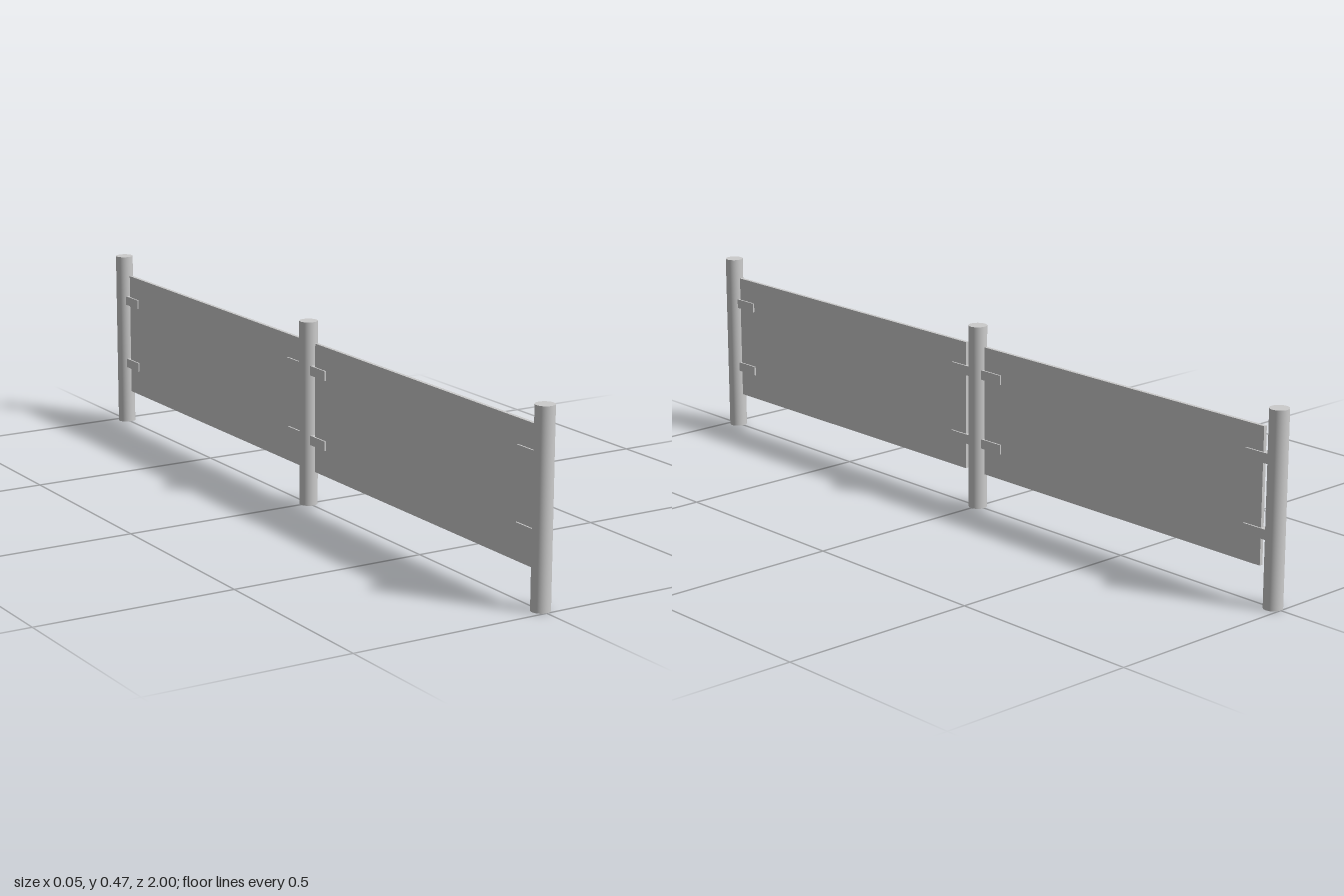
import * as THREE from 'three';

const POST_R = 0.023, POST_H = 0.467, SPACING = 0.977;

export function createModel() {
  const group = new THREE.Group();
  const material = new THREE.MeshStandardMaterial({ color: 0xcccccc });
  const add = (geometry, name, y, z) => {
    const mesh = new THREE.Mesh(geometry, material);
    mesh.name = name;
    mesh.position.set(0, y, z);
    group.add(mesh);
  };

  // Three round posts
  const post = new THREE.CylinderGeometry(POST_R, POST_R, POST_H, 32);
  for (const z of [-SPACING, 0, SPACING]) add(post, 'post', POST_H / 2, z);

  // Two thin panels, each set slightly towards the front of its bay
  const panel = new THREE.BoxGeometry(0.009, 0.326, 0.909);
  // Clips gripping both faces of the panel, running out from the posts
  const clip = new THREE.BoxGeometry(0.017, 0.024, 0.08);
  for (const side of [-1, 1]) {
    const middle = side * SPACING / 2;
    add(panel, 'panel', 0.254, middle + 0.005);
    for (const y of [0.169, 0.346]) {
      for (const end of [-1, 1]) add(clip, 'clip', y, middle + end * (SPACING / 2 - 0.049));
    }
  }
  return group;
}
